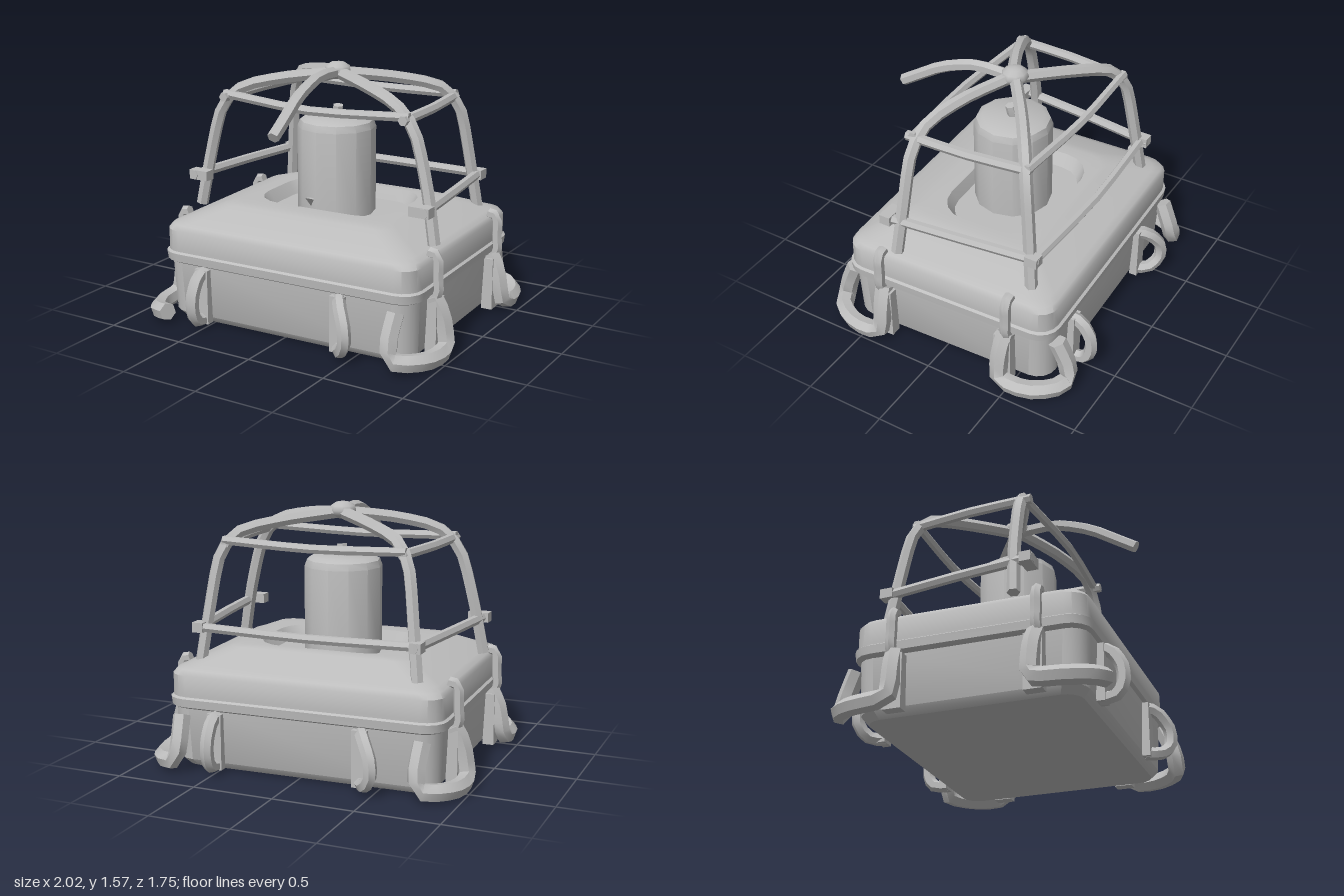
import * as THREE from 'three';
import { toCreasedNormals } from 'three/addons/utils/BufferGeometryUtils.js';

const V = (x, y, z) => new THREE.Vector3(x, y, z);

// Skin a stack of equal-length loops and close both ends
function loft(loops, crease = 0.7) {
  const n = loops[0].length, pos = [], idx = [];
  loops.forEach(l => l.forEach(p => pos.push(p.x, p.y, p.z)));
  for (let k = 0; k < loops.length - 1; k++) {
    for (let i = 0; i < n; i++) {
      const j = (i + 1) % n, a = k * n + i, b = k * n + j;
      idx.push(a, b, a + n, b, b + n, a + n);
    }
  }
  [0, loops.length - 1].forEach((k, end) => {
    const c = V(0, 0, 0);
    loops[k].forEach(p => c.addScaledVector(p, 1 / n));
    const ci = pos.length / 3;
    pos.push(c.x, c.y, c.z);
    for (let i = 0; i < n; i++) {
      const a = k * n + i, b = k * n + (i + 1) % n;
      if (end) idx.push(ci, a, b); else idx.push(ci, b, a);
    }
  });
  const g = new THREE.BufferGeometry();
  g.setAttribute('position', new THREE.Float32BufferAttribute(pos, 3));
  g.setIndex(idx);
  return toCreasedNormals(g, crease);
}

// Horizontal rounded rectangle: height, half sizes, corner radius, z offset
function roundRect(y, hx, hz, r, cz = 0) {
  const pts = [];
  for (let c = 0; c < 4; c++) {
    const sx = c < 2 ? 1 : -1, sz = c === 0 || c === 3 ? 1 : -1;
    for (let i = 0; i <= 4; i++) {
      const a = (c + i / 4) * Math.PI / 2;
      pts.push(V(sx * (hx - r) + r * Math.sin(a), y, cz + sz * (hz - r) + r * Math.cos(a)));
    }
  }
  return pts;
}

// Faceted bar swept along a smooth path
function bar(points, r, segments = 10, sides = 6, tension = 0.4) {
  const curve = new THREE.CatmullRomCurve3(points.map(p => V(...p)), false, 'catmullrom', tension);
  const f = curve.computeFrenetFrames(segments, false), loops = [];
  for (let k = 0; k <= segments; k++) {
    const c = curve.getPointAt(k / segments), loop = [];
    for (let i = 0; i < sides; i++) {
      const a = (i + 0.5) / sides * Math.PI * 2;
      loop.push(c.clone().addScaledVector(f.normals[k], r * Math.cos(a)).addScaledVector(f.binormals[k], r * Math.sin(a)));
    }
    loops.push(loop);
  }
  return loft(loops, 0.8);
}

export function createModel() {
  const model = new THREE.Group();
  model.name = 'cagedLantern';
  const grey = new THREE.MeshStandardMaterial({ color: 0xbdbdbd });
  grey.name = 'plain grey';
  const add = (name, geo, parent = model) => {
    const m = new THREE.Mesh(geo, grey);
    m.name = name;
    parent.add(m);
    return m;
  };

  // Housing sits slightly turned under the cage
  const housing = new THREE.Group();
  housing.name = 'housing';
  housing.rotation.y = 0.035;
  model.add(housing);

  add('base', loft([
    roundRect(0.015, 0.78, 0.63, 0.1),
    roundRect(0.06, 0.82, 0.67, 0.12),
    roundRect(0.42, 0.835, 0.685, 0.12),
  ]), housing);

  // Lid with a lip, a shoulder, a raised crown and a sunken well
  add('lid', loft([
    roundRect(0.37, 0.83, 0.67, 0.12),
    roundRect(0.39, 0.86, 0.705, 0.13),
    roundRect(0.44, 0.865, 0.71, 0.13),
    roundRect(0.45, 0.85, 0.695, 0.12),
    roundRect(0.465, 0.85, 0.695, 0.12),
    roundRect(0.58, 0.85, 0.695, 0.12),
    roundRect(0.61, 0.83, 0.675, 0.12),
    roundRect(0.625, 0.79, 0.635, 0.12),
    roundRect(0.715, 0.58, 0.44, 0.1, 0.02),
    roundRect(0.725, 0.52, 0.39, 0.12, 0),
    roundRect(0.725, 0.45, 0.32, 0.2, -0.02),
    roundRect(0.65, 0.40, 0.29, 0.18, -0.02),
  ]), housing);

  // Latches over the lid seam
  for (const s of [-1, 1]) {
    for (const z of [0.43, -0.43]) {
      add('latch', bar([[s * 0.82, 0.63, z], [s * 0.875, 0.61, z], [s * 0.88, 0.48, z],
        [s * 0.885, 0.4, z], [s * 0.85, 0.34, z]], 0.032, 8), housing);
    }
  }

  // Loops wrapping each lower corner
  const cornerPath = [[0.85, 0.37, 0.42], [0.9, 0.27, 0.41], [0.93, 0.1, 0.41], [0.94, 0.065, 0.47],
    [0.93, 0.06, 0.6], [0.86, 0.07, 0.73], [0.76, 0.085, 0.78], [0.74, 0.2, 0.76], [0.75, 0.34, 0.7]];
  for (const sx of [-1, 1]) {
    for (const sz of [-1, 1]) {
      const path = sx < 0 && sz > 0 ? cornerPath.slice(0, 7) : cornerPath;
      add('cornerLoop', bar(path.map(([x, y, z]) => [x * sx, y, z * sz]), 0.055, 14), housing);
      add('cornerBracket', new THREE.BoxGeometry(0.07, 0.33, 0.11), housing)
        .position.set(sx * 0.855, 0.19, sz * 0.41);
    }
  }

  // Handles standing out from the front and back walls
  for (const [x, s, lean] of [[-0.55, 1, 0], [0.38, 1, 0.1], [0.53, -1, 0], [-0.38, -1, -0.1]]) {
    add('handle', bar([[x, 0.35, s * 0.68], [x + lean * 0.4, 0.33, s * 0.75], [x + lean, 0.23, s * 0.81],
      [x + lean, 0.12, s * 0.81], [x + lean * 0.4, 0.06, s * 0.76], [x, 0.06, s * 0.68]], 0.04, 10), housing);
    add('handlePlate', new THREE.BoxGeometry(0.09, 0.34, 0.05), housing).position.set(x, 0.2, s * 0.695);
  }

  // Central canister with bevelled top and knob
  const can = [[0.01, 0.62], [0.24, 0.62], [0.24, 1.18], [0.225, 1.22], [0.19, 1.24], [0, 1.24]];
  const canGeo = new THREE.LatheGeometry(can.map(p => new THREE.Vector2(...p)), 12);
  add('canister', toCreasedNormals(canGeo, 0.6)).position.set(-0.01, 0, 0.01);
  add('canisterKnob', bar([[-0.01, 1.23, 0.01], [0, 1.27, 0.015], [0.005, 1.31, 0.02]], 0.033, 3));
  const tab = add('canisterTab', new THREE.ConeGeometry(0.035, 0.05, 3));
  tab.position.set(-0.05, 0.745, 0.245);
  tab.rotation.x = Math.PI;

  // Cage ribs
  const cage = new THREE.Group();
  cage.name = 'cage';
  model.add(cage);
  const frontRib = [[0, 1.51, 0.01], [0.28, 1.475, 0.15], [0.53, 1.41, 0.25], [0.67, 1.27, 0.28],
    [0.76, 0.95, 0.29], [0.82, 0.64, 0.31]];
  const backRib = [[0, 1.51, -0.01], [0.28, 1.47, -0.22], [0.5, 1.41, -0.37], [0.6, 1.27, -0.44],
    [0.65, 0.95, -0.49], [0.69, 0.64, -0.53]];
  for (const s of [-1, 1]) {
    for (const rib of [frontRib, backRib]) {
      add('cageRib', bar(rib.map(([x, y, z]) => [x * s, y, z]), 0.038, 14), cage);
    }
    // Side rails and their end blocks
    add('upperSideRail', bar([[s * 0.62, 1.345, 0.34], [s * 0.61, 1.345, -0.05], [s * 0.56, 1.345, -0.45]], 0.03, 4), cage);
    add('lowerSideRail', bar([[s * 0.8, 0.85, 0.42], [s * 0.75, 0.85, -0.05], [s * 0.68, 0.845, -0.58]], 0.03, 4), cage);
    add('frontRailBlock', new THREE.BoxGeometry(0.13, 0.06, 0.07), cage).position.set(s * 0.77, 0.85, 0.38);
    add('backRailBlock', new THREE.BoxGeometry(0.07, 0.06, 0.08), cage).position.set(s * 0.69, 0.845, -0.54);
  }

  // Cross rails; the lower front stays open
  add('upperFrontRail', bar([[-0.64, 1.36, 0.29], [0, 1.335, 0.345], [0.64, 1.36, 0.29]], 0.028, 6), cage);
  add('upperBackRail', bar([[-0.58, 1.36, -0.43], [0, 1.345, -0.45], [0.58, 1.36, -0.43]], 0.028, 6), cage);
  add('lowerBackRail', bar([[-0.7, 0.845, -0.53], [0, 0.84, -0.57], [0.7, 0.845, -0.55]], 0.028, 6), cage);

  // Hub and the free arm reaching forward
  const hub = add('hub', new THREE.SphereGeometry(0.085, 10, 6), cage);
  hub.scale.y = 0.65;
  hub.position.set(-0.01, 1.52, 0);
  add('forwardArm', bar([[0, 1.51, 0], [0.005, 1.515, 0.25], [0.015, 1.44, 0.48],
    [0.03, 1.34, 0.65], [0.035, 1.265, 0.77]], 0.037, 9), cage);

  return model;
}
